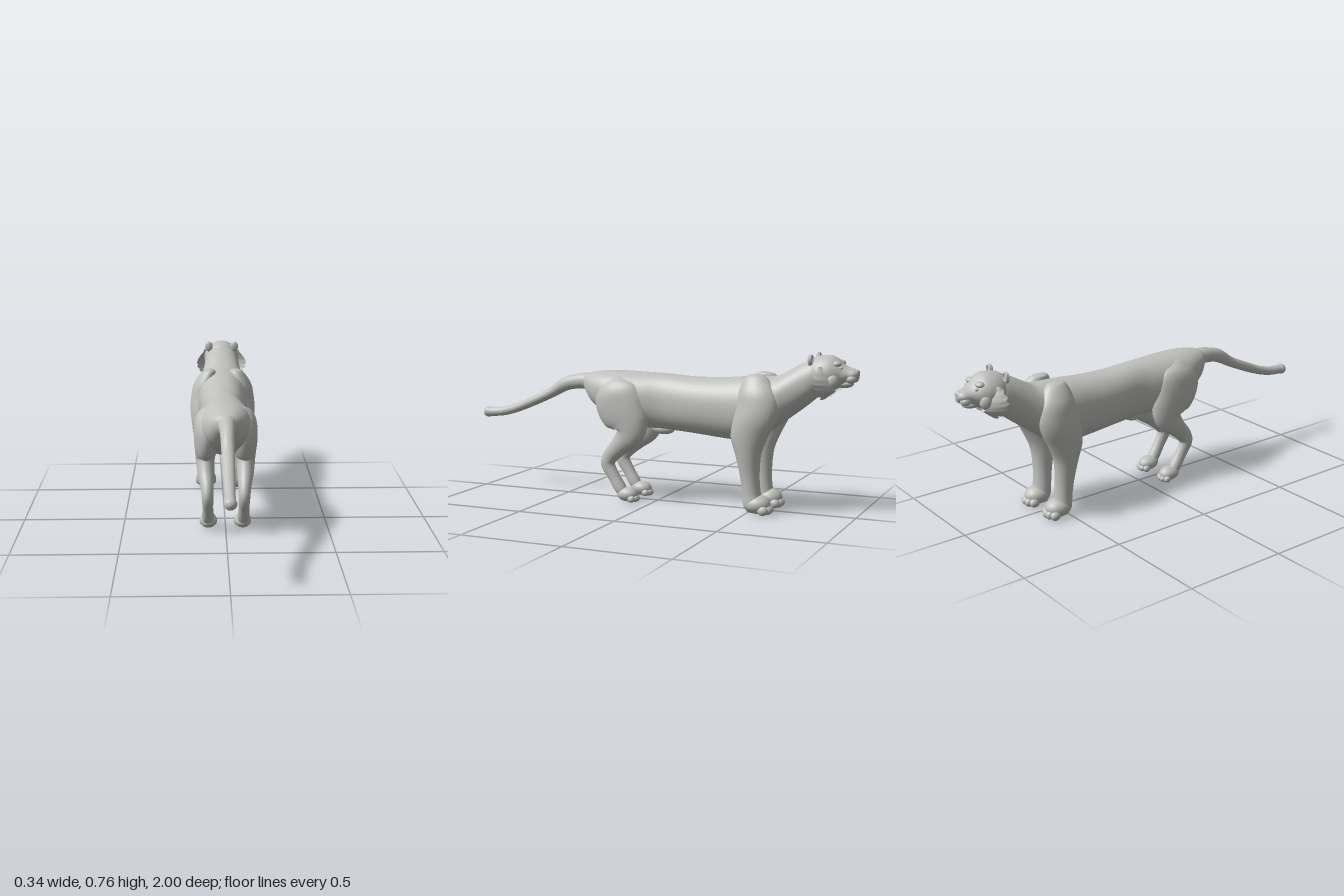
import * as THREE from 'three';

const fur = new THREE.MeshStandardMaterial({ color: 0xc0c0be });
fur.name = 'grey fur';
const furThin = fur.clone();
furThin.side = THREE.DoubleSide;

// Smooth skin over sections [x, y, z, halfWidth, halfDepth]; rings follow the path or a fixed direction.
function loft(name, sections, { dir = null, power = 1, steps = 5, sides = 32 } = {}) {
  const path = new THREE.CatmullRomCurve3(sections.map(s => new THREE.Vector3(s[0], s[1], s[2])), false, 'catmullrom');
  const size = new THREE.CatmullRomCurve3(sections.map(s => new THREE.Vector3(s[3], s[4], 0)), false, 'catmullrom');
  const rings = (sections.length - 1) * steps;
  const pos = [], idx = [];
  const soft = v => Math.sign(v) * Math.abs(v) ** power;
  for (let i = 0; i <= rings; i++) {
    const t = i / rings;
    const c = path.getPoint(t), r = size.getPoint(t);
    const T = dir ? dir.clone() : path.getTangent(t);
    const S = new THREE.Vector3(1, 0, 0).addScaledVector(T, -T.x).normalize();
    const N = T.clone().cross(S);
    for (let j = 0; j < sides; j++) {
      const a = j / sides * Math.PI * 2;
      const p = c.clone().addScaledVector(S, r.x * soft(Math.cos(a))).addScaledVector(N, r.y * soft(Math.sin(a)));
      pos.push(p.x, p.y, p.z);
    }
  }
  for (let i = 0; i < rings; i++) for (let j = 0; j < sides; j++) {
    const k = (j + 1) % sides, a = i * sides + j, b = i * sides + k;
    idx.push(a, b, a + sides, b, b + sides, a + sides);
  }
  // Close both ends
  const first = sections[0], last = sections[sections.length - 1], n = pos.length / 3;
  pos.push(first[0], first[1], first[2], last[0], last[1], last[2]);
  for (let j = 0; j < sides; j++) {
    const k = (j + 1) % sides;
    idx.push(n, k, j, n + 1, rings * sides + j, rings * sides + k);
  }
  const g = new THREE.BufferGeometry();
  g.setAttribute('position', new THREE.Float32BufferAttribute(pos, 3));
  g.setIndex(idx);
  g.computeVertexNormals();
  const m = new THREE.Mesh(g, fur);
  m.name = name;
  return m;
}

// Sections given as [z, top, bottom, halfWidth]
const upright = list => list.map(([z, top, bottom, w]) => [0, (top + bottom) / 2, z, w, (top - bottom) / 2]);

function blob(name, x, y, z, rx, ry, rz) {
  const m = new THREE.Mesh(new THREE.SphereGeometry(1, 24, 16), fur);
  m.name = name;
  m.position.set(x, y, z);
  m.scale.set(rx, ry, rz);
  return m;
}

function paw(name, x, y, z, rx, rz) {
  const g = new THREE.Group();
  g.name = name;
  g.add(blob('pawPad', x, y, z, rx, y, rz));
  for (let i = 0; i < 4; i++) {
    const u = (i - 1.5) / 1.5, r = rx * 0.36;
    g.add(blob('toe', x + u * rx * 0.66, r * 1.15, z - rz * (0.8 - 0.2 * u * u), r, r * 1.15, r * 1.3));
  }
  return g;
}

// Jagged fur fringe sweeping back from the cheek
function ruff(s) {
  const curve = pts => new THREE.CatmullRomCurve3(pts.map(p => new THREE.Vector3(p[0] * s, p[1], p[2])));
  const inner = curve([[0.08, 0.705, -0.85], [0.082, 0.64, -0.885], [0.062, 0.595, -0.905], [0.03, 0.59, -0.9]]);
  const outer = curve([[0.09, 0.705, -0.825], [0.137, 0.64, -0.815], [0.118, 0.585, -0.822], [0.055, 0.543, -0.84]]);
  const n = 28, pos = [], idx = [];
  for (let i = 0; i <= n; i++) {
    const u = i / n, a = inner.getPoint(u), b = outer.getPoint(u);
    const tip = i % 4 === 2 ? 1 : i % 4 === 0 ? 0.78 : 0.9;
    for (const v of [0, 0.4, tip]) {
      const p = a.clone().lerp(b, v);
      p.x += s * 0.012 * Math.sin(v * Math.PI);
      pos.push(p.x, p.y, p.z);
    }
    if (i < n) for (let k = 0; k < 2; k++) {
      const q = i * 3 + k;
      if (s > 0) idx.push(q, q + 3, q + 1, q + 1, q + 3, q + 4);
      else idx.push(q, q + 1, q + 3, q + 1, q + 4, q + 3);
    }
  }
  const g = new THREE.BufferGeometry();
  g.setAttribute('position', new THREE.Float32BufferAttribute(pos, 3));
  g.setIndex(idx);
  g.computeVertexNormals();
  const m = new THREE.Mesh(g, furThin);
  m.name = 'cheekRuff';
  return m;
}

export function createModel() {
  const model = new THREE.Group();
  model.name = 'bigCat';
  const forward = new THREE.Vector3(0, 0, -1), down = new THREE.Vector3(0, -1, 0);

  // Trunk and neck
  model.add(loft('body', upright([
    [0.40, 0.605, 0.55, 0.025], [0.375, 0.622, 0.52, 0.06], [0.33, 0.632, 0.465, 0.09],
    [0.25, 0.64, 0.415, 0.12], [0.15, 0.64, 0.372, 0.13], [0.05, 0.638, 0.365, 0.118],
    [-0.05, 0.635, 0.362, 0.105], [-0.2, 0.626, 0.352, 0.115], [-0.35, 0.63, 0.338, 0.122],
    [-0.45, 0.638, 0.335, 0.13], [-0.55, 0.643, 0.36, 0.135], [-0.62, 0.65, 0.41, 0.125],
    [-0.68, 0.682, 0.455, 0.11], [-0.74, 0.715, 0.50, 0.098], [-0.80, 0.738, 0.55, 0.088],
    [-0.85, 0.74, 0.60, 0.07], [-0.88, 0.71, 0.64, 0.04],
  ]), { dir: forward, power: 0.9, sides: 40 }));
  model.add(blob('underbelly', 0, 0.362, -0.03, 0.032, 0.028, 0.06));

  // Tail
  model.add(loft('tail', [
    [0, 0.56, 0.3, 0.03, 0.04], [0, 0.58, 0.38, 0.042, 0.042], [0, 0.573, 0.46, 0.036, 0.037],
    [0, 0.555, 0.52, 0.033, 0.034], [0, 0.508, 0.6, 0.03, 0.026], [0, 0.463, 0.7, 0.028, 0.025],
    [0, 0.422, 0.8, 0.026, 0.023], [0, 0.4, 0.88, 0.024, 0.023], [0, 0.393, 0.95, 0.025, 0.024],
    [0, 0.392, 0.975, 0.028, 0.027], [0, 0.392, 0.992, 0.02, 0.02], [0, 0.392, 1.0, 0.004, 0.004],
  ]));

  // Head, muzzle and jaw
  const head = new THREE.Group();
  head.name = 'head';
  head.add(loft('skull', upright([
    [-0.76, 0.72, 0.61, 0.05], [-0.79, 0.742, 0.59, 0.08], [-0.83, 0.752, 0.578, 0.094],
    [-0.87, 0.752, 0.585, 0.09], [-0.90, 0.738, 0.60, 0.077], [-0.93, 0.712, 0.615, 0.058],
    [-0.955, 0.70, 0.632, 0.046], [-0.98, 0.693, 0.642, 0.04], [-0.995, 0.685, 0.655, 0.026],
    [-0.999, 0.676, 0.664, 0.008],
  ]), { dir: forward }));
  head.add(blob('jaw', 0, 0.624, -0.93, 0.036, 0.02, 0.045));
  head.add(blob('nose', 0, 0.679, -0.986, 0.02, 0.013, 0.014));
  model.add(head);

  for (const s of [1, -1]) {
    // Face details
    head.add(blob('muzzlePad', s * 0.022, 0.649, -0.967, 0.026, 0.022, 0.026));
    head.add(blob('brow', s * 0.04, 0.716, -0.905, 0.026, 0.014, 0.02));
    head.add(blob('eye', s * 0.044, 0.698, -0.923, 0.01, 0.008, 0.01));
    head.add(blob('cheek', s * 0.06, 0.64, -0.885, 0.03, 0.04, 0.035));
    head.add(ruff(s));
    head.add(blob('ear', s * 0.07, 0.732, -0.786, 0.021, 0.027, 0.009));
    const rim = new THREE.Mesh(new THREE.TorusGeometry(0.016, 0.005, 10, 24), fur);
    rim.name = 'earRim';
    rim.position.set(s * 0.07, 0.735, -0.793);
    rim.scale.y = 1.15;
    head.add(rim);

    // Front leg with shoulder
    model.add(loft('frontLeg', [
      [s * 0.068, 0.658, -0.525, 0.008, 0.012], [s * 0.072, 0.645, -0.53, 0.034, 0.05],
      [s * 0.096, 0.58, -0.545, 0.055, 0.088], [s * 0.107, 0.51, -0.55, 0.06, 0.1],
      [s * 0.11, 0.44, -0.535, 0.062, 0.102], [s * 0.106, 0.36, -0.51, 0.058, 0.088],
      [s * 0.1, 0.28, -0.505, 0.053, 0.062], [s * 0.094, 0.18, -0.512, 0.045, 0.047],
      [s * 0.09, 0.1, -0.52, 0.045, 0.044], [s * 0.09, 0.04, -0.53, 0.048, 0.048],
      [s * 0.09, 0.008, -0.53, 0.03, 0.03],
    ], { dir: down }));
    model.add(paw('frontPaw', s * 0.09, 0.046, -0.548, 0.055, 0.066));

    // Hind leg with haunch
    model.add(loft('hindLeg', [
      [s * 0.065, 0.61, 0.2, 0.02, 0.04], [s * 0.082, 0.55, 0.185, 0.06, 0.115],
      [s * 0.09, 0.47, 0.155, 0.062, 0.13], [s * 0.095, 0.40, 0.115, 0.054, 0.105],
      [s * 0.098, 0.34, 0.11, 0.046, 0.075], [s * 0.095, 0.28, 0.16, 0.04, 0.05],
      [s * 0.09, 0.225, 0.215, 0.031, 0.04], [s * 0.088, 0.18, 0.232, 0.028, 0.036],
      [s * 0.087, 0.12, 0.2, 0.026, 0.03], [s * 0.086, 0.06, 0.163, 0.029, 0.03],
      [s * 0.085, 0.03, 0.14, 0.022, 0.02],
    ]));
    model.add(paw('hindPaw', s * 0.084, 0.036, 0.128, 0.042, 0.054));
  }
  return model;
}
